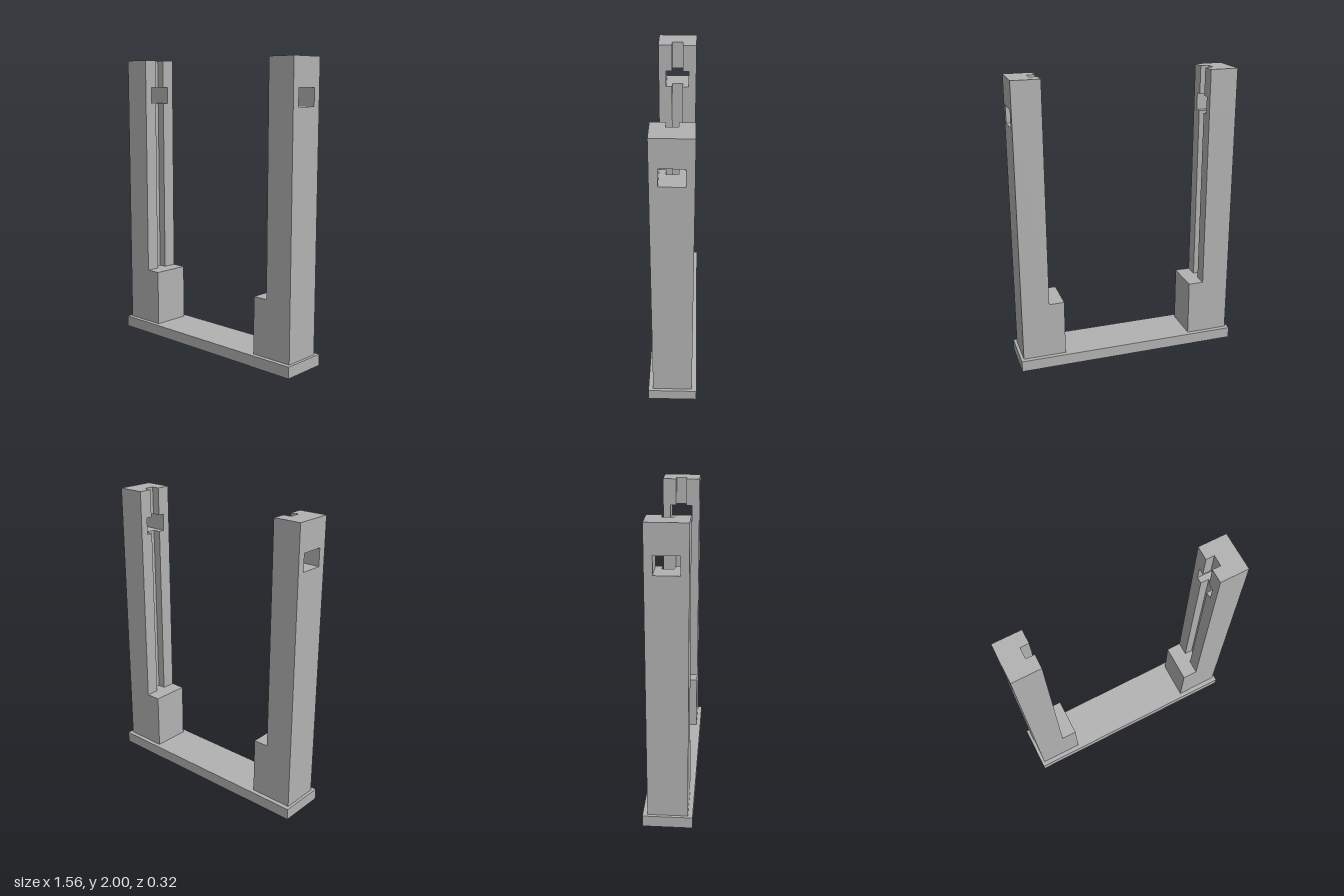
import * as THREE from 'three';

const BASE_TOP = 0.077, BLOCK_TOP = 0.467, TOP = 2;
const OUTER = 0.76, INNER = 0.568, HALF_Z = 0.131;
const WIN_LOW = 1.693, WIN_HIGH = 1.81, WIN_Z = 0.079;
const HOLE_DEPTH = 0.064;

export function createModel() {
  const grey = new THREE.MeshStandardMaterial({ color: 0xb2b2b2 });
  grey.name = 'grey';
  const model = new THREE.Group();
  model.name = 'uprightStand';

  const add = (parent, name, geometry) => {
    const mesh = new THREE.Mesh(geometry, grey);
    mesh.name = name;
    parent.add(mesh);
  };
  // Box given by its limits
  const box = (x0, x1, y0, y1, z0, z1) =>
    new THREE.BoxGeometry(x1 - x0, y1 - y0, z1 - z0)
      .translate((x0 + x1) / 2, (y0 + y1) / 2, (z0 + z1) / 2);
  // Plan outline raised from y0 to y1
  const raise = (shape, y0, y1) =>
    new THREE.ExtrudeGeometry(shape, { depth: y1 - y0, bevelEnabled: false, curveSegments: 24 })
      .rotateX(-Math.PI / 2).translate(0, y0, 0);
  const outline = (points) => new THREE.Shape(points.map(([x, y]) => new THREE.Vector2(x, y)));

  // Base plate with two blind screw holes underneath
  const plate = outline([[-0.78, -0.162], [0.78, -0.162], [0.78, 0.162], [-0.78, 0.162]]);
  for (const x of [-0.46, 0.46]) {
    plate.holes.push(new THREE.Path().absarc(x, 0, 0.048, 0, Math.PI * 2, true));
  }
  add(model, 'basePlate', raise(plate, 0, HOLE_DEPTH));
  add(model, 'basePlateTop', box(-0.78, 0.78, HOLE_DEPTH, BASE_TOP, -0.162, 0.162));

  // Plan of a post, with a guide slot in its inner face
  const slotted = outline([
    [OUTER, -HALF_Z], [OUTER, HALF_Z], [INNER, HALF_Z], [INNER, 0.037],
    [0.624, 0.037], [0.624, -0.037], [INNER, -0.037], [INNER, -HALF_Z],
  ]);

  // Two matching posts, the second turned to face the first
  for (const side of ['left', 'right']) {
    const post = new THREE.Group();
    post.name = side + 'Post';
    add(post, 'footBlock', box(0.463, OUTER, BASE_TOP, BLOCK_TOP, -HALF_Z, HALF_Z));
    add(post, 'slottedShaft', raise(slotted, BLOCK_TOP, WIN_LOW));
    // Solid sides of the window that passes through the post
    add(post, 'windowFrontSide', box(INNER, OUTER, WIN_LOW, WIN_HIGH, WIN_Z, HALF_Z));
    add(post, 'windowBackSide', box(INNER, OUTER, WIN_LOW, WIN_HIGH, -HALF_Z, -WIN_Z));
    add(post, 'slottedHead', raise(slotted, WIN_HIGH, TOP));
    if (side === 'right') post.rotation.y = Math.PI;
    model.add(post);
  }
  return model;
}
